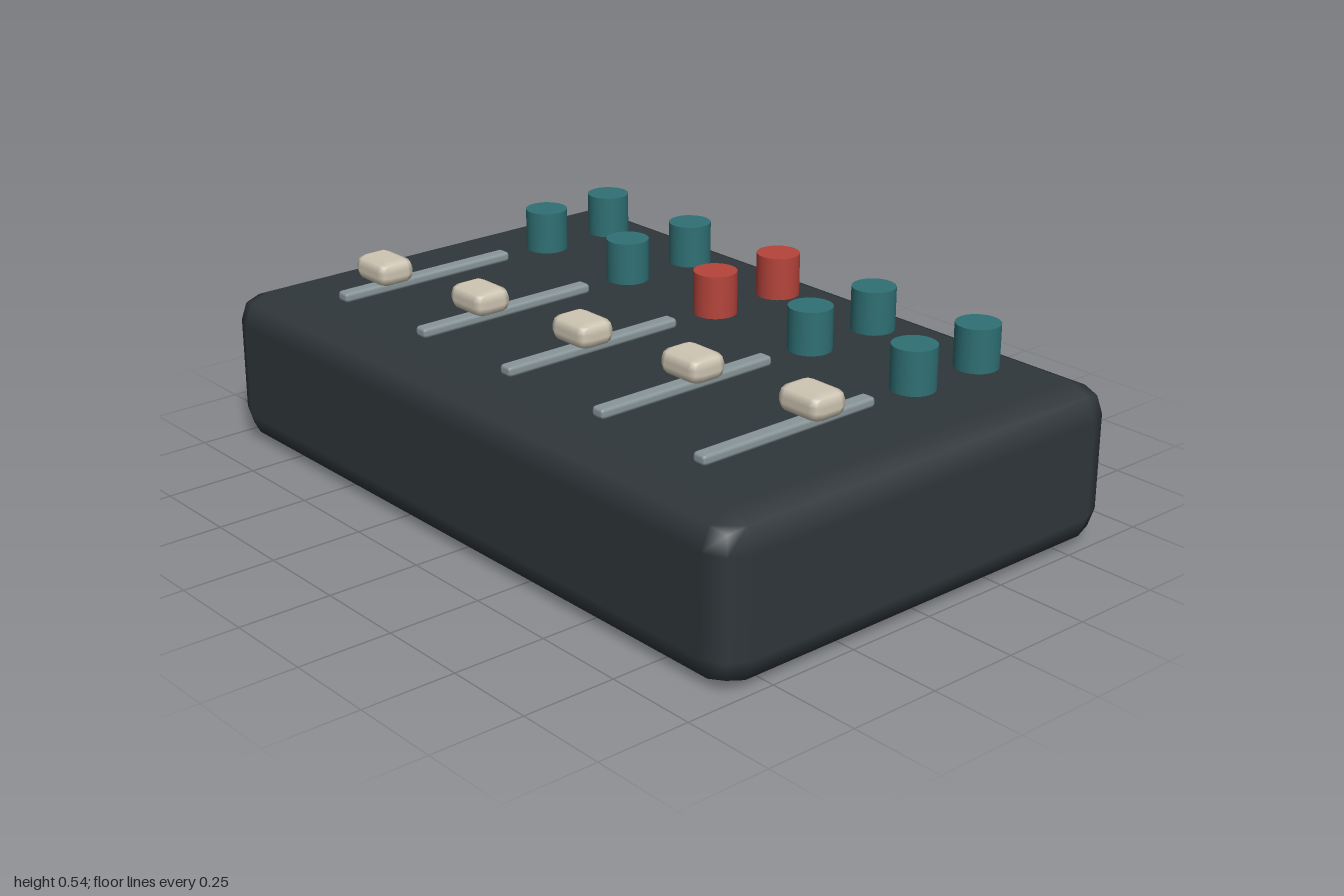
import * as THREE from 'three';
import { RoundedBoxGeometry } from 'three/addons/geometries/RoundedBoxGeometry.js';

const material = (color) => new THREE.MeshStandardMaterial({ color });

export function createModel() {
  const model = new THREE.Group();
  const dark = material(0x30373b);
  const teal = material(0x2f7074);
  const red = material(0xb5443b);
  const metal = material(0x89969a);
  const cream = material(0xcfc6b4);

  function add(name, geometry, mat, x, y, z) {
    const mesh = new THREE.Mesh(geometry, mat);
    mesh.name = name;
    mesh.position.set(x, y, z);
    model.add(mesh);
  }

  // Console body with softened edges
  add('body', new RoundedBoxGeometry(2, 0.42, 1.29, 1, 0.083), dark, 0, 0.21, 0);

  const knob = new THREE.CylinderGeometry(0.058, 0.058, 0.115, 24);
  const track = new RoundedBoxGeometry(0.043, 0.028, 0.545, 1, 0.01);
  const cap = new RoundedBoxGeometry(0.14, 0.07, 0.109, 1, 0.028);

  // Five channels: two knobs, a fader track and its cap
  for (let i = 0; i < 5; i++) {
    const x = (i - 2) * 0.355;
    const knobMaterial = i === 2 ? red : teal;
    for (const z of [-0.452, -0.226]) add('knob', knob, knobMaterial, x, 0.484, z);
    add('faderTrack', track, metal, x, 0.436, 0.195);
    add('faderCap', cap, cream, x, 0.487, 0.327 - i * 0.053);
  }

  return model;
}
